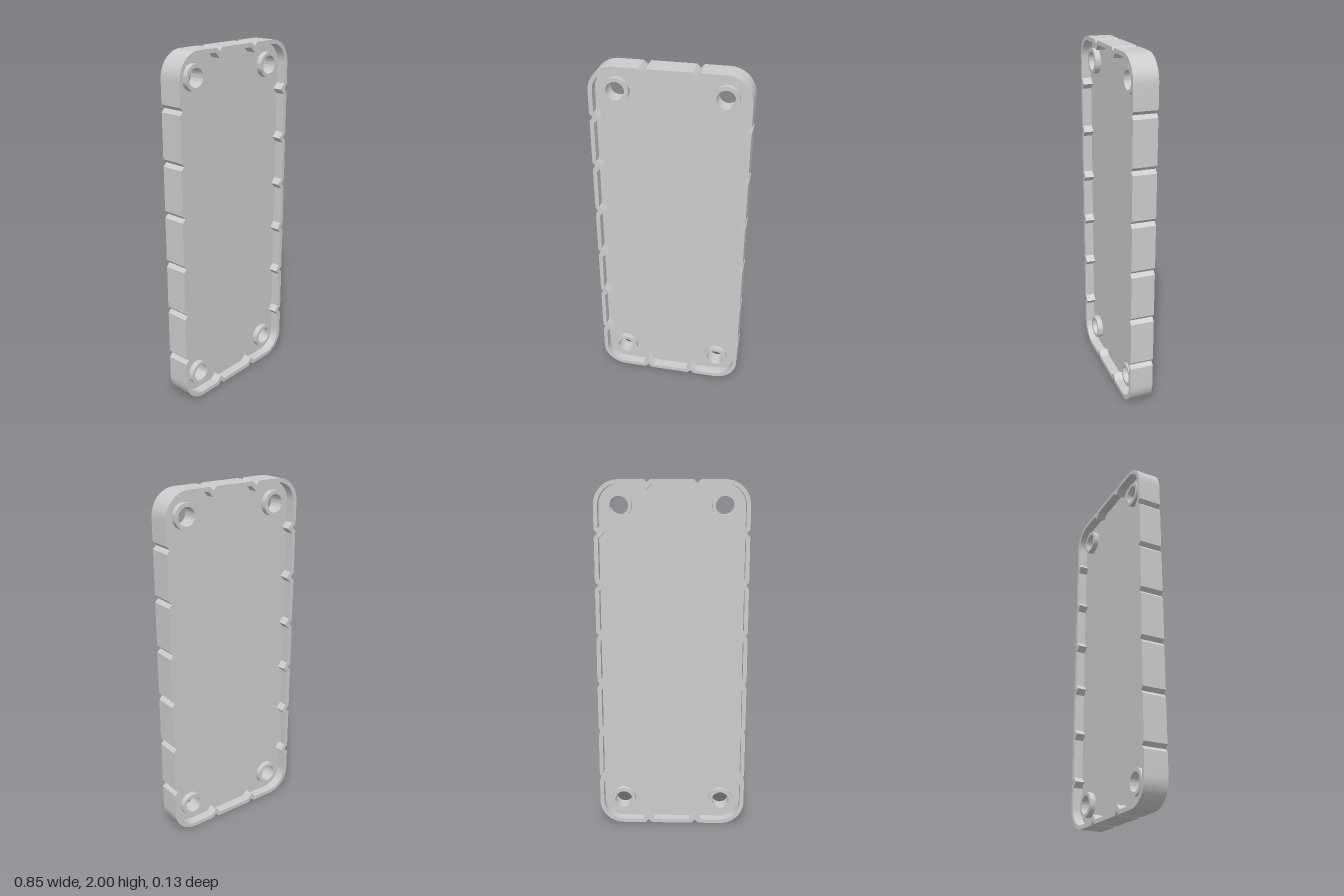
import * as THREE from 'three';
import { toCreasedNormals } from 'three/addons/utils/BufferGeometryUtils.js';

const HALF_W = 0.426, HALF_H = 1, CORNER = 0.138, RIM = 0.023;
const DEPTH = 0.134, WEB = 0.026, BOSS = 0.09;
const SIDE_NOTCHES = [-5, -3, -1, 1, 3, 5].map((k) => k / 7);
const END_NOTCHES = [-0.138, 0.138];

// Rounded rectangle, counter-clockwise, with V notches cut into every edge
function outline(inset, notch) {
  const w = HALF_W - inset, h = HALF_H - inset, r = CORNER - inset;
  const sides = [
    { half: w, reach: h, at: SIDE_NOTCHES },
    { half: h, reach: w, at: END_NOTCHES },
  ];
  const pts = [];
  for (let i = 0; i < 4; i++) {
    const { half, reach, at } = sides[i % 2];
    const turn = (i * Math.PI) / 2;
    const add = (x, y) => pts.push(new THREE.Vector2(x, y).rotateAround(new THREE.Vector2(), turn));
    for (const t of at) {
      add(half, t - notch);
      add(half - notch, t);
      add(half, t + notch);
    }
    for (let s = 0; s <= 16; s++) {
      const a = (s / 16) * Math.PI / 2;
      add(half - r + r * Math.cos(a), reach - r + r * Math.sin(a));
    }
  }
  return pts;
}

const circle = (x, y, r) => new THREE.Path().absarc(x, y, r, 0, Math.PI * 2, true);

export function createModel() {
  const group = new THREE.Group();
  const material = new THREE.MeshStandardMaterial({ color: 0xcccccc });

  // Extrudes a shape centred on z = 0
  function slab(name, shape, depth, x = 0, y = 0) {
    const geo = new THREE.ExtrudeGeometry(shape, { depth, bevelEnabled: false, curveSegments: 24 });
    geo.translate(0, 0, -depth / 2);
    const mesh = new THREE.Mesh(toCreasedNormals(geo, 0.5), material);
    mesh.name = name;
    mesh.position.set(x, y + HALF_H, 0);
    group.add(mesh);
  }

  const corners = [[1, 1], [-1, 1], [-1, -1], [1, -1]]
    .map(([sx, sy]) => [sx * (HALF_W - CORNER), sy * (HALF_H - CORNER)]);

  // Notched rim, open on both faces
  const rim = new THREE.Shape(outline(0, 0.02));
  rim.holes.push(new THREE.Path(outline(RIM, 0.031)));
  slab('rim', rim, DEPTH);

  // Thin central web, recessed from both faces
  const web = new THREE.Shape(outline(RIM, 0.031));
  for (const [x, y] of corners) web.holes.push(circle(x, y, 0.07));
  slab('web', web, WEB);

  // Screw bosses passing through the web
  for (const [x, y] of corners) {
    const ring = new THREE.Shape().absarc(0, 0, 0.07, 0, Math.PI * 2, false);
    ring.holes.push(circle(0, 0, 0.05));
    slab('screwBoss', ring, BOSS, x, y);
  }

  return group;
}
